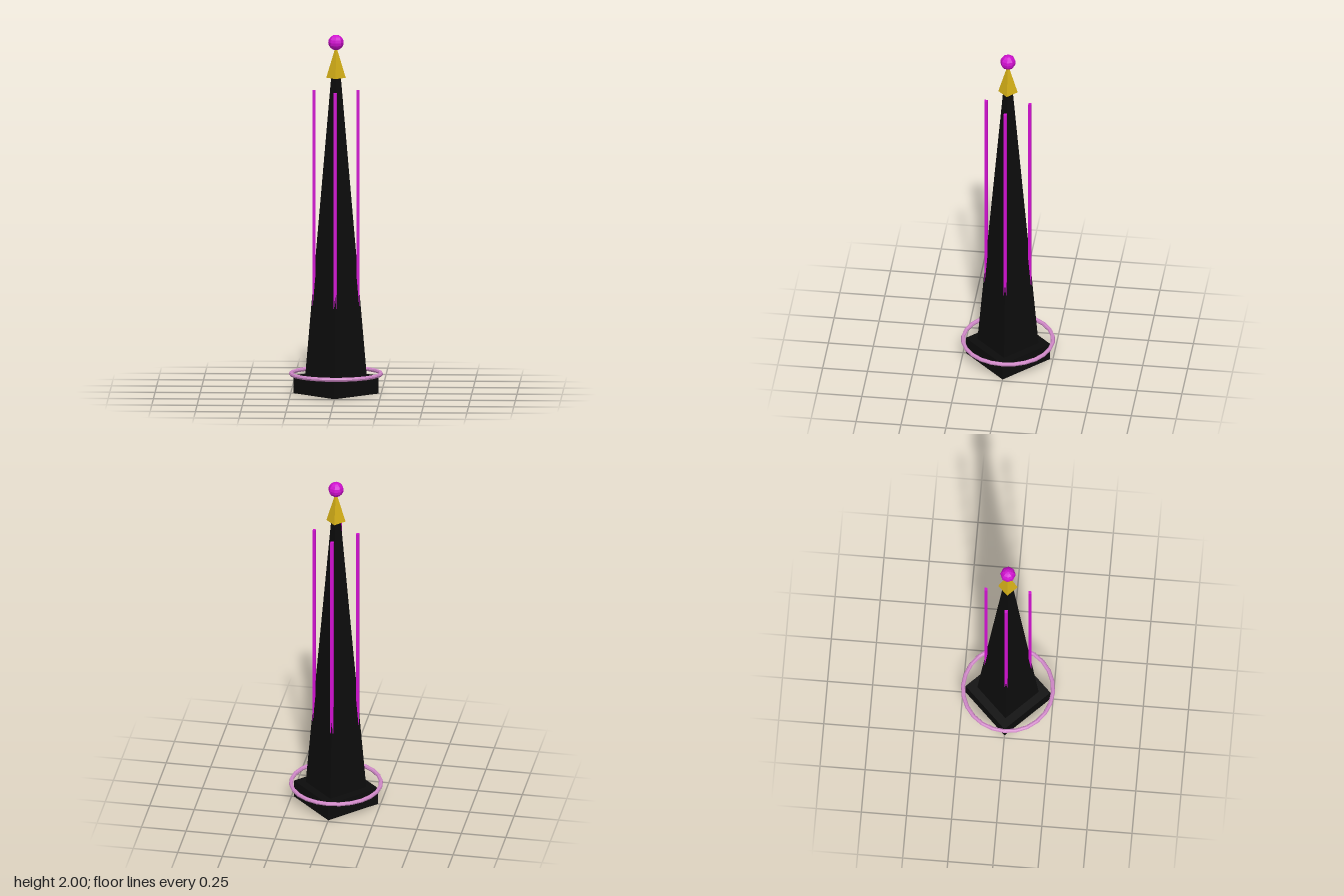
import * as THREE from 'three';

const mat = (name, color) => {
  const m = new THREE.MeshStandardMaterial({ color, flatShading: true });
  m.name = name;
  return m;
};

export function createModel() {
  const black = mat('black', 0x0c0c0c);
  const magenta = mat('magenta', 0xd010d0);
  const gold = mat('gold', 0xd4af17);
  const pink = mat('pink', 0xd088c8);

  const model = new THREE.Group();
  model.name = 'obelisk';
  const add = (name, geometry, material, x, y, z) => {
    const mesh = new THREE.Mesh(geometry, material);
    mesh.name = name;
    mesh.position.set(x, y, z);
    model.add(mesh);
    return mesh;
  };
  // four-sided frustum with its corners on the x and z axes
  const frustum = (name, rTop, rBottom, y0, y1, material) =>
    add(name, new THREE.CylinderGeometry(rTop, rBottom, y1 - y0, 4), material, 0, (y0 + y1) / 2, 0);

  frustum('base', 0.235, 0.235, 0, 0.1, black);
  frustum('spire', 0.027, 0.17, 0.1, 1.76, black);
  frustum('goldCap', 0, 0.054, 1.76, 1.94, gold);

  // faceted ball at the tip
  add('tipBall', new THREE.SphereGeometry(0.043, 8, 8), magenta, 0, 1.957, 0);

  // ring around the top of the base
  const ring = add('baseRing', new THREE.TorusGeometry(0.249, 0.0115, 8, 24), pink, 0, 0.11, 0);
  ring.rotation.x = Math.PI / 2;

  // upright rods standing at the spire's corners
  for (let i = 0; i < 4; i++) {
    const a = (i * Math.PI) / 2;
    add('rod' + (i + 1), new THREE.BoxGeometry(0.017, 1.2, 0.017), magenta,
      0.122 * Math.cos(a), 1.09, 0.122 * Math.sin(a));
  }
  return model;
}
